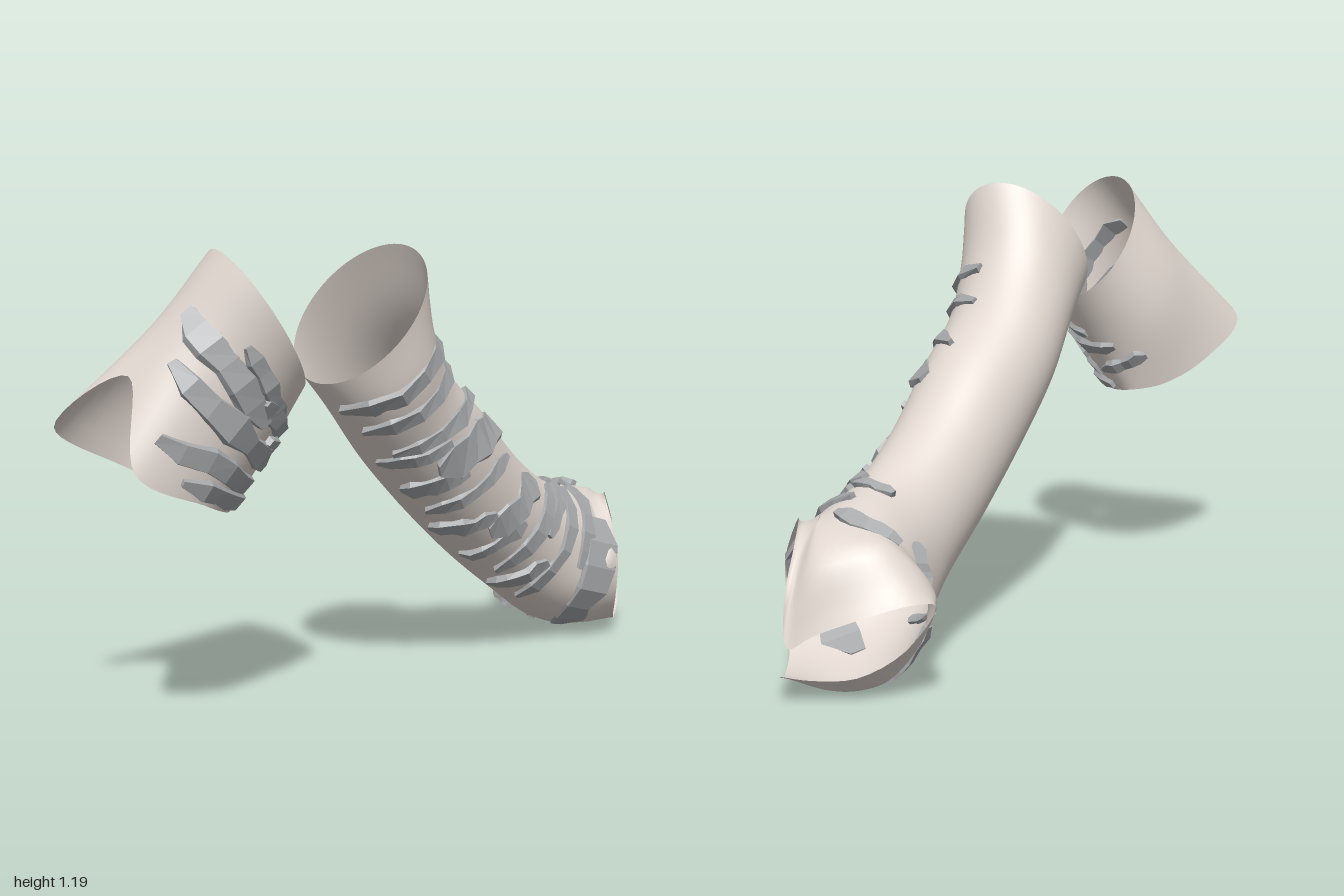
import * as THREE from 'three';

const V = (p) => new THREE.Vector3(...p);
const RAD = Math.PI / 180;

const cloth = new THREE.MeshStandardMaterial({ color: 0xe2d8d1, side: THREE.DoubleSide });
const plate = new THREE.MeshStandardMaterial({ color: 0xa6a8aa, side: THREE.DoubleSide, flatShading: true });

// A ring is a function of angle: 0 = upper side, 90 = front, 180 = lower side, 270 = back
function ellipse(centre, up, front) {
  const c = V(centre), a = V(up), b = V(front);
  return (deg) => c.clone().addScaledVector(a, Math.cos(deg * RAD)).addScaledVector(b, Math.sin(deg * RAD));
}
function loop(points) {
  const curve = new THREE.CatmullRomCurve3(points.map(V), true);
  return (deg) => curve.getPoint((((deg % 360) + 360) % 360) / 360);
}

// Surface through the rings; u counts rings
function loft(rings) {
  return (u, deg) => new THREE.CatmullRomCurve3(rings.map((r) => r(deg)))
    .getPoint(THREE.MathUtils.clamp(u / (rings.length - 1), 0, 1));
}

function sleeveMesh(rings, name) {
  const around = 64, along = (rings.length - 1) * 6;
  const pos = [], index = [];
  for (let j = 0; j < around; j++) {
    const line = new THREE.CatmullRomCurve3(rings.map((r) => r((j * 360) / around)));
    for (let i = 0; i <= along; i++) pos.push(...line.getPoint(i / along).toArray());
  }
  const row = along + 1;
  for (let j = 0; j < around; j++) {
    for (let i = 0; i < along; i++) {
      const a = j * row + i, b = ((j + 1) % around) * row + i;
      index.push(a, a + 1, b, b, a + 1, b + 1);
    }
  }
  const g = new THREE.BufferGeometry();
  g.setAttribute('position', new THREE.Float32BufferAttribute(pos, 3));
  g.setIndex(index);
  g.computeVertexNormals();
  const m = new THREE.Mesh(g, cloth);
  m.name = name;
  return m;
}

// Jagged slab that follows the sleeve from one angle and station to another
function strapMesh(surf, [deg0, u0, deg1, u1, width], seed) {
  const n = 6, pos = [], index = [];
  const rnd = (k) => {
    const s = Math.sin(seed * 12.9898 + k * 78.233) * 43758.5453;
    return s - Math.floor(s);
  };
  const at = (f) => surf(u0 + (u1 - u0) * f, deg0 + (deg1 - deg0) * f);
  for (let i = 0; i <= n; i++) {
    const f = i / n, u = u0 + (u1 - u0) * f;
    const p = at(f);
    const t = at(Math.min(1, f + 0.05)).sub(at(Math.max(0, f - 0.05))).normalize();
    const mid = new THREE.Vector3();
    for (let k = 0; k < 4; k++) mid.addScaledVector(surf(u, k * 90), 0.25);
    const out = p.clone().sub(mid);
    out.addScaledVector(t, -out.dot(t)).normalize();
    const across = t.clone().cross(out);
    const taper = i === 0 || i === n ? 0.45 : 1;
    const lo = -width * 0.5 * taper * (0.65 + 0.6 * rnd(i));
    const hi = width * 0.5 * taper * (0.65 + 0.6 * rnd(i + 20));
    const h = 0.007 + 0.01 * rnd(i + 40);
    for (const [s, d] of [[lo, -0.004], [lo * 0.8, h], [hi * 0.8, h], [hi, -0.004]]) {
      pos.push(...p.clone().addScaledVector(across, s).addScaledVector(out, d).toArray());
    }
  }
  for (let i = 0; i < n; i++) {
    for (let k = 0; k < 4; k++) {
      const a = i * 4 + k, b = i * 4 + ((k + 1) % 4);
      index.push(a, b, a + 4, b, b + 4, a + 4);
    }
  }
  const e = n * 4;
  index.push(0, 2, 1, 0, 3, 2, e, e + 1, e + 2, e, e + 2, e + 3);
  const g = new THREE.BufferGeometry();
  g.setAttribute('position', new THREE.Float32BufferAttribute(pos, 3));
  g.setIndex(index);
  g.computeVertexNormals();
  const m = new THREE.Mesh(g, plate);
  m.name = 'strap';
  return m;
}

function sleeve(name, rings, straps) {
  const group = new THREE.Group();
  group.name = name;
  group.add(sleeveMesh(rings, name + 'Cloth'));
  const surf = loft(rings);
  straps.forEach((s, i) => group.add(strapMesh(surf, s, i + 1)));
  return group;
}

export function createModel() {
  const model = new THREE.Group();
  model.name = 'wrappedSleeves';

  // Long sleeve, ending in a split cuff with two tips
  const longRings = [
    ellipse([-0.25, 1.01, 0.15], [0.126, 0.163, 0.066], [0.012, -0.064, 0.142]),
    ellipse([-0.165, 0.865, 0.125], [0.105, 0.135, 0.025], [0.005, -0.025, 0.165]),
    ellipse([-0.055, 0.735, 0.09], [0.095, 0.135, 0], [0, 0, 0.17]),
    ellipse([0.1, 0.6, 0.065], [0.1, 0.14, 0], [0, 0, 0.165]),
    ellipse([0.29, 0.44, 0.035], [0.09, 0.143, 0], [0, 0, 0.155]),
    ellipse([0.475, 0.32, 0.005], [0.075, 0.16, 0], [0, 0, 0.155]),
    ellipse([0.65, 0.245, -0.04], [0.07, 0.195, -0.015], [-0.02, 0, 0.205]),
    loop([[0.92, 0.37, -0.12], [0.78, 0.42, 0], [0.68, 0.25, 0.19], [0.68, 0.06, 0.1],
      [0.8, 0, -0.07], [0.74, 0.025, -0.18], [0.71, 0.25, -0.31], [0.82, 0.38, -0.25]]),
    loop([[1, 0.155, -0.1], [0.985, 0.27, -0.08], [0.91, 0.37, -0.04], [0.8, 0.41, 0.05],
      [0.715, 0.26, 0.185], [0.71, 0.15, 0.185], [0.77, 0.05, 0.12], [0.87, 0.03, 0.04],
      [0.97, 0.07, -0.05], [0.93, 0.06, -0.1], [0.86, 0.065, -0.19], [0.79, 0.13, -0.28],
      [0.77, 0.25, -0.36], [0.84, 0.265, -0.345], [0.92, 0.235, -0.26], [0.975, 0.19, -0.16]]),
  ];
  model.add(sleeve('longSleeve', longRings, [
    [165, 0.65, 5, 1.35, 0.055], [160, 1.15, 5, 2.0, 0.05], [150, 1.8, 5, 2.8, 0.05],
    [172, 1.9, 100, 2.35, 0.05], [125, 2.5, 20, 3.3, 0.12], [168, 2.5, 105, 2.9, 0.06],
    [160, 3.0, 60, 3.45, 0.05], [172, 3.3, 110, 3.7, 0.06], [125, 3.8, 45, 4.2, 0.1],
    [168, 3.9, 95, 4.2, 0.05], [150, 4.4, 35, 4.75, 0.05], [172, 4.6, 110, 5.0, 0.06],
    [90, 4.8, 15, 5.1, 0.05], [160, 5.1, 25, 5.35, 0.05], [20, 5.3, -25, 5.35, 0.035],
    [100, 5.7, 5, 5.8, 0.05], [165, 6.3, 60, 6.3, 0.12], [5, 6.3, -50, 6.35, 0.05],
    [-60, 5.7, -85, 6.1, 0.05], [-110, 6.4, -150, 6.7, 0.04], [190, 5.5, 225, 5.6, 0.04],
  ]));

  // Short sleeve, with a notch at the outer end
  const shortRings = [
    ellipse([-0.595, 1.01, 0.17], [-0.14, 0.163, 0.066], [-0.013, -0.064, 0.17]),
    ellipse([-0.685, 0.85, 0.105], [-0.15, 0.16, 0.035], [-0.005, -0.03, 0.185]),
    loop([[-0.92, 0.89, 0.1], [-0.97, 0.67, 0.2], [-0.8, 0.585, 0.23], [-0.68, 0.545, 0.16],
      [-0.6, 0.55, 0.03], [-0.66, 0.57, -0.06], [-0.8, 0.64, -0.125], [-1, 0.755, -0.11]]),
  ];
  model.add(sleeve('shortSleeve', shortRings, [
    [10, 0.8, 105, 1.05, 0.09], [95, 0.85, 165, 0.75, 0.06], [25, 1.3, 145, 1.3, 0.08],
    [45, 1.7, 150, 1.6, 0.07], [120, 1.1, 190, 1.05, 0.06], [70, 1.88, 165, 1.85, 0.05],
    [165, 1.5, 215, 1.4, 0.05], [60, 0.6, 120, 0.75, 0.05],
  ]));
  return model;
}
